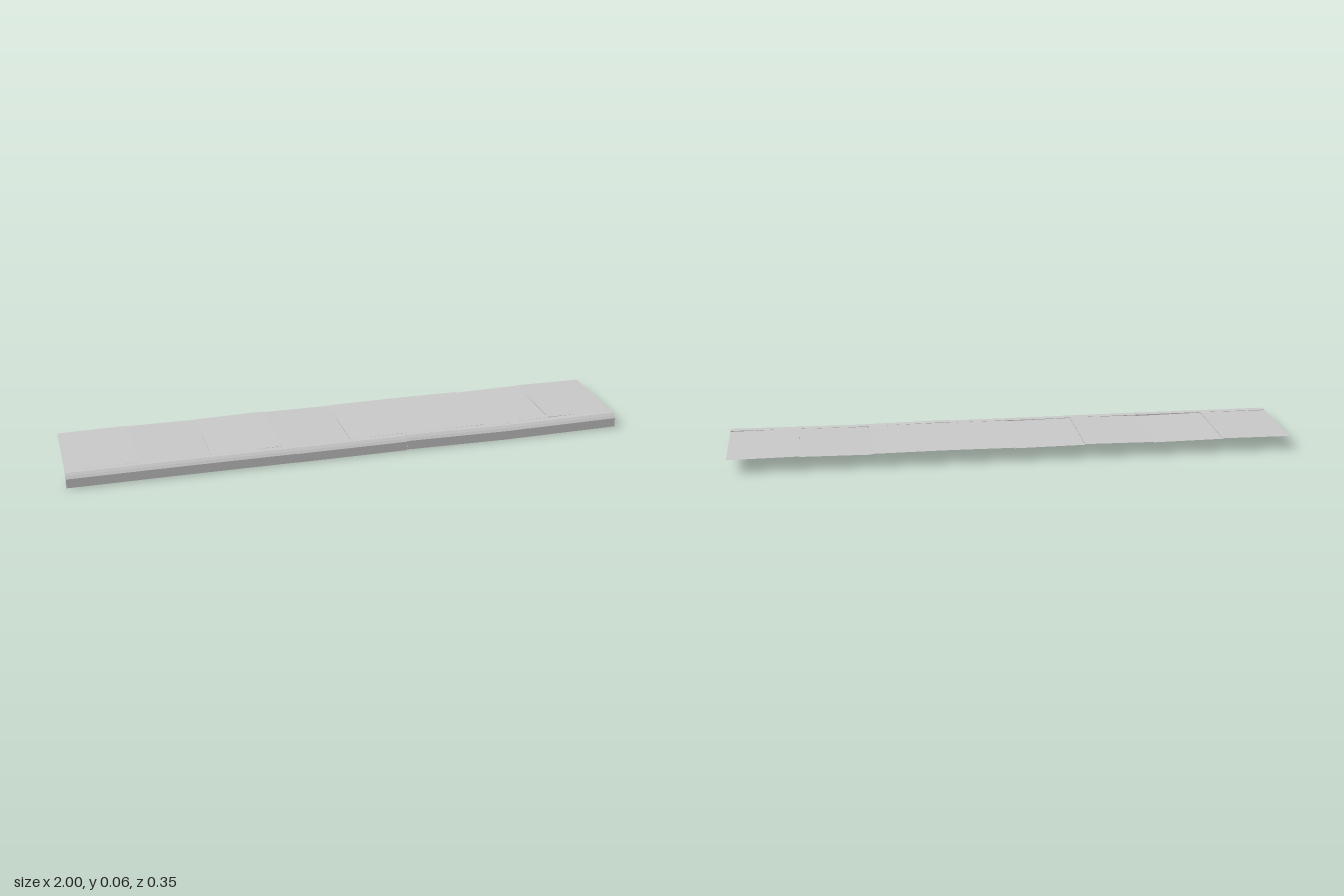
import * as THREE from 'three';

const material = new THREE.MeshStandardMaterial({ color: 0xcccccc, flatShading: true });
const thinMaterial = new THREE.MeshStandardMaterial({ color: 0xcccccc, flatShading: true, side: THREE.DoubleSide });

// Curb stone: chamfered cross-section swept along x, centred on its length
function curbGeometry(length) {
  const profile = [[0.138, 0], [0.138, 0.05], [0.153, 0.0515], [0.162, 0.0505], [0.17, 0.042], [0.176, 0.033], [0.176, 0]];
  const shape = new THREE.Shape(profile.map(([z, y]) => new THREE.Vector2(-z, y)));
  const geometry = new THREE.ExtrudeGeometry(shape, { depth: length, bevelEnabled: false });
  geometry.translate(0, 0, -length / 2);
  geometry.rotateY(Math.PI / 2);
  return geometry;
}

export function createModel() {
  const group = new THREE.Group();
  group.name = 'sidewalk';

  // Row of five curb stones, each settled by a slightly different height and tilt
  const curbs = [[0.007, 0.002], [0.007, -0.002], [0.006, 0.001], [0.006, -0.012], [0.006, 0.009]];
  const curbLength = 2 / curbs.length;
  const curb = curbGeometry(curbLength);
  curbs.forEach(([y, tilt], i) => {
    const mesh = new THREE.Mesh(curb, material);
    mesh.name = `curbStone${i + 1}`;
    mesh.position.set(-1 + curbLength * (i + 0.5), y, 0);
    mesh.rotation.z = tilt;
    group.add(mesh);
  });

  // Row of eight thin paving slabs behind the curb, slightly uneven
  const slabs = [[0.056, 0.008], [0.054, -0.01], [0.056, 0.012], [0.054, -0.008],
    [0.056, 0.006], [0.056, -0.006], [0.054, 0.012], [0.056, -0.01]];
  const slabWidth = 2 / slabs.length;
  const slab = new THREE.PlaneGeometry(slabWidth, 0.313);
  slab.rotateX(-Math.PI / 2);
  slabs.forEach(([y, tilt], i) => {
    const mesh = new THREE.Mesh(slab, thinMaterial);
    mesh.name = `pavingSlab${i + 1}`;
    mesh.position.set(-1 + slabWidth * (i + 0.5), y, -0.0195);
    mesh.rotation.z = tilt;
    group.add(mesh);
  });

  return group;
}
